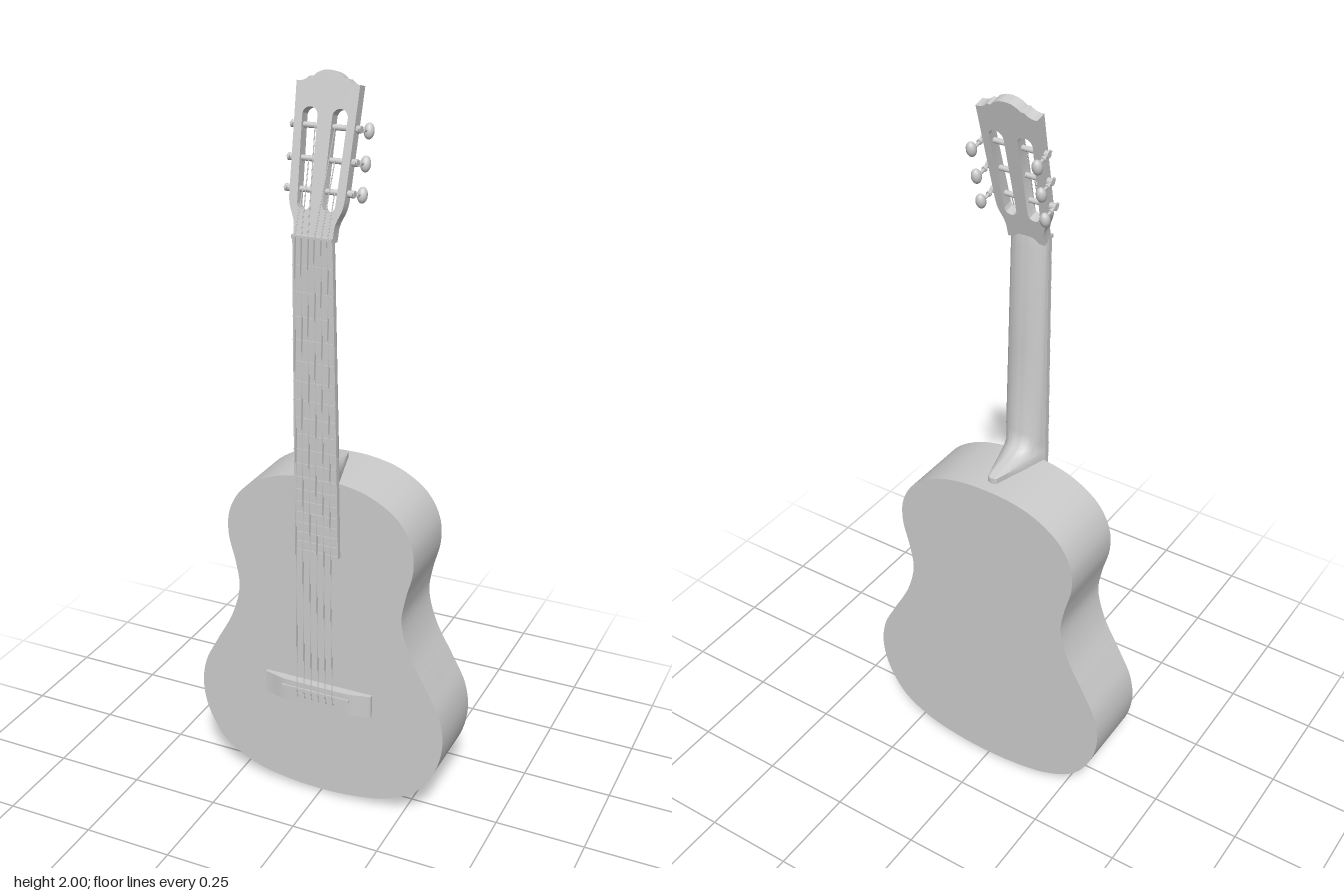
import * as THREE from 'three';
import { toCreasedNormals } from 'three/addons/utils/BufferGeometryUtils.js';

const material = new THREE.MeshStandardMaterial({ color: 0xcccccc });
const V = (x, y, z) => new THREE.Vector3(x, y, z);

function add(parent, name, geometry, x = 0, y = 0, z = 0) {
  const mesh = new THREE.Mesh(geometry, material);
  mesh.name = name;
  mesh.position.set(x, y, z);
  parent.add(mesh);
  return mesh;
}

// Round bar between two points
function rod(parent, name, a, b, radius, sides = 8) {
  const dir = b.clone().sub(a);
  const mesh = add(parent, name, new THREE.CylinderGeometry(radius, radius, dir.length(), sides));
  mesh.position.copy(a).lerp(b, 0.5);
  mesh.quaternion.setFromUnitVectors(V(0, 1, 0), dir.normalize());
  return mesh;
}

// Capped skin over rings of equal length, ordered from bottom to top
function loft(rings, crease = 0.7) {
  const n = rings[0].length, index = [];
  for (let i = 0; i < rings.length - 1; i++) {
    for (let j = 0; j < n; j++) {
      const a = i * n + j, b = i * n + (j + 1) % n;
      index.push(a, b, a + n, b, b + n, a + n);
    }
  }
  const top = (rings.length - 1) * n;
  for (let j = 1; j < n - 1; j++) index.push(0, j + 1, j, top, top + j, top + j + 1);
  const geometry = new THREE.BufferGeometry().setFromPoints(rings.flat());
  geometry.setIndex(index);
  return toCreasedNormals(geometry, crease);
}

// Fingerboard runs on a slightly tilted, tapering line
const along = (y) => (y - 0.765) / 0.855;
const boardFront = (y) => 0.094 + 0.014 * along(y);
const boardWidth = (y) => 0.063 - 0.010 * along(y);
const boardThickness = 0.014;

function boxRing(y, w, front, back) {
  return [V(w, y, front), V(w, y, back), V(-w, y, back), V(-w, y, front)];
}

// D-shaped neck section; heel = 1 turns it into a tapering wedge
function neckRing(y, back, heel) {
  const front = boardFront(y) - boardThickness, w = boardWidth(y) - 0.001;
  return Array.from({ length: 25 }, (_, i) => {
    const a = Math.PI * i / 24, t = Math.sin(a), c = Math.cos(a);
    const wedge = Math.sign(c) * (1 - 0.8 * t) * Math.min(1, Math.abs(c) * 4);
    return V(w * THREE.MathUtils.lerp(c, wedge, heel), y, front + (back - front) * t);
  });
}

function buildBody(group) {
  const half = [[0.07, 0.974], [0.15, 0.953], [0.225, 0.903], [0.263, 0.835], [0.268, 0.765],
    [0.248, 0.68], [0.239, 0.61], [0.262, 0.52], [0.315, 0.42], [0.352, 0.345], [0.364, 0.265],
    [0.345, 0.175], [0.29, 0.09], [0.2, 0.04], [0.1, 0.019]];
  const right = half.map(([x, y]) => V(x, y, 0));
  const left = half.map(([x, y]) => V(-x, y, 0)).reverse();
  const outline = new THREE.CatmullRomCurve3([V(0, 0.978, 0), ...right, V(0, 0.013, 0), ...left], true);
  const shape = new THREE.Shape(outline.getPoints(160).map((p) => new THREE.Vector2(p.x, p.y)));
  const geometry = new THREE.ExtrudeGeometry(shape, { depth: 0.198, bevelEnabled: false });
  add(group, 'body', toCreasedNormals(geometry, 0.7), 0, 0, -0.118);

  add(group, 'soundHole', new THREE.CircleGeometry(0.09, 48), 0, 0.685, 0.0805);
  add(group, 'endPin', new THREE.CylinderGeometry(0.009, 0.007, 0.016, 16), 0, 0.008, -0.012);

  // Bridge with thinning wings
  const s = new THREE.Shape();
  s.moveTo(-0.158, 0.079);
  s.lineTo(0.158, 0.079);
  s.lineTo(0.158, 0.09);
  s.bezierCurveTo(0.125, 0.093, 0.115, 0.104, 0.08, 0.104);
  s.lineTo(-0.08, 0.104);
  s.bezierCurveTo(-0.115, 0.104, -0.125, 0.093, -0.158, 0.09);
  const bridge = new THREE.ExtrudeGeometry(s, { depth: 0.065, bevelEnabled: false, curveSegments: 10 });
  bridge.rotateX(Math.PI / 2);
  add(group, 'bridge', toCreasedNormals(bridge, 0.5), 0, 0.365, 0);
  add(group, 'saddle', new THREE.BoxGeometry(0.2, 0.007, 0.012), 0, 0.345, 0.102);
}

function buildNeck(group) {
  const sections = [[0.977, -0.084, 1], [0.994, -0.084, 1], [1.002, -0.05, 1], [1.01, -0.01, 0.9],
    [1.018, 0.02, 0.65], [1.032, 0.038, 0.3], [1.06, 0.047, 0], [1.3, 0.057, 0], [1.59, 0.068, 0], [1.622, 0.072, 0]];
  add(group, 'neck', loft(sections.map((s) => neckRing(...s))));

  const board = [0.765, 1.62].map((y) =>
    boxRing(y, boardWidth(y), boardFront(y), y < 1 ? 0.079 : boardFront(y) - boardThickness));
  add(group, 'fingerboard', loft(board, 0.3));
  add(group, 'nut', new THREE.BoxGeometry(0.106, 0.01, 0.022), 0, 1.62, 0.103);

  // Frets in equal-tempered spacing
  for (let n = 1; n <= 19; n++) {
    const y = 0.345 + 1.275 * Math.pow(2, -n / 12);
    add(group, 'fret', new THREE.BoxGeometry(2 * boardWidth(y), 0.004, 0.004), 0, y, boardFront(y));
  }
}

function buildHead(group) {
  const head = new THREE.Group();
  head.name = 'headstock';
  head.position.set(0, 1.62, 0.105);
  head.rotation.x = -0.245;
  group.add(head);

  // Outline with a scalloped crown
  const s = new THREE.Shape();
  s.moveTo(-0.052, -0.005);
  s.lineTo(0.052, -0.005);
  s.lineTo(0.053, 0.025);
  s.bezierCurveTo(0.056, 0.055, 0.072, 0.06, 0.073, 0.1);
  s.lineTo(0.082, 0.362);
  s.quadraticCurveTo(0.062, 0.36, 0.05, 0.374);
  s.lineTo(0.04, 0.374);
  s.quadraticCurveTo(0.025, 0.391, 0, 0.391);
  s.quadraticCurveTo(-0.025, 0.391, -0.04, 0.374);
  s.lineTo(-0.05, 0.374);
  s.quadraticCurveTo(-0.062, 0.36, -0.082, 0.362);
  s.lineTo(-0.073, 0.1);
  s.bezierCurveTo(-0.072, 0.06, -0.056, 0.055, -0.053, 0.025);
  for (const side of [1, -1]) {
    const slot = new THREE.Path();
    slot.absarc(side * 0.039, 0.284, 0.02, 0, Math.PI, false);
    slot.absarc(side * 0.033, 0.08, 0.017, Math.PI, 2 * Math.PI, false);
    s.holes.push(slot);
  }
  const plate = new THREE.ExtrudeGeometry(s, { depth: 0.03, bevelEnabled: false, curveSegments: 10 });
  add(head, 'headPlate', toCreasedNormals(plate, 0.6), 0, 0, -0.03);

  const rows = [0.112, 0.185, 0.262];
  for (const side of [1, -1]) {
    rows.forEach((y, i) => {
      // Roller, gear, shaft and button of one tuner
      const edge = side * (0.074 + 0.003 * i), out = side * 0.086;
      rod(head, 'stringRoller', V(side * 0.01, y, -0.014), V(edge, y, -0.014), 0.007, 12);
      rod(head, 'tunerGear', V(edge, y, -0.014), V(side * 0.091, y, -0.014), 0.009, 12);
      rod(head, 'tunerShaft', V(out, y, 0), V(out, y, -0.06), 0.004);
      rod(head, 'tunerCollar', V(out, y, -0.03), V(out, y, -0.036), 0.007, 12);
      const button = add(head, 'tunerButton', new THREE.SphereGeometry(1, 16, 10), side * 0.089, y, -0.064);
      button.scale.set(0.013, 0.02, 0.013);

      // String end from nut to roller
      const x = side * (0.043 - 0.0172 * i);
      rod(head, 'stringEnd', V(x, 0, 0.009), V(side * (0.042 - 0.008 * i), y, -0.007), 0.0013, 6);
    });
  }
}

export function createModel() {
  const guitar = new THREE.Group();
  guitar.name = 'guitar';
  buildBody(guitar);
  buildNeck(guitar);
  buildHead(guitar);

  // Six strings from the bridge over the saddle to the nut
  for (let i = 0; i < 6; i++) {
    const k = (i - 2.5) / 2.5;
    const saddle = V(0.053 * k, 0.345, 0.109);
    rod(guitar, 'string', saddle, V(0.043 * k, 1.62, 0.115), 0.0015, 6);
    rod(guitar, 'stringTie', V(0.053 * k, 0.318, 0.104), saddle, 0.0015, 6);
  }
  return guitar;
}
